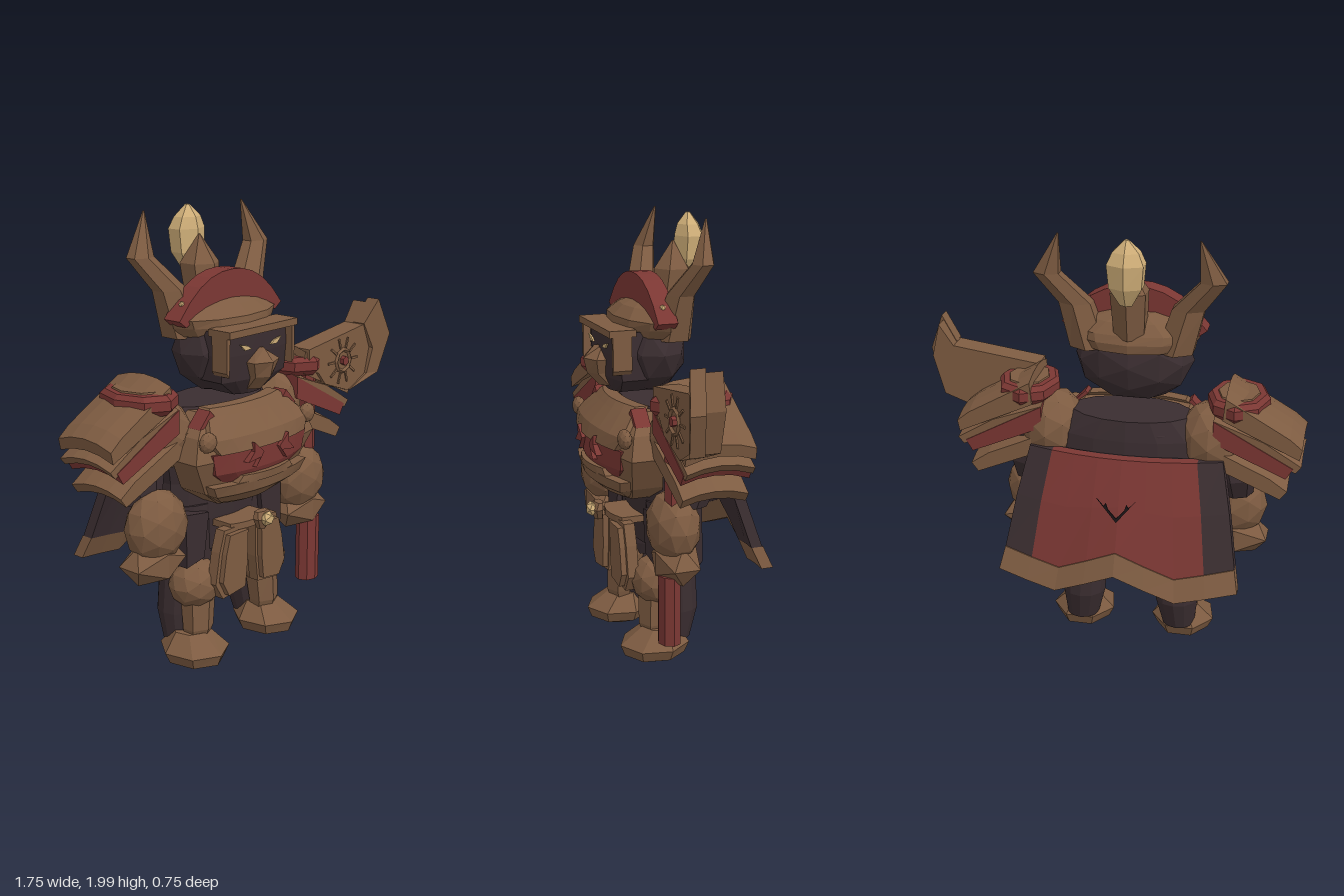
import * as THREE from 'three';

const mat = (name, color) => Object.assign(new THREE.MeshStandardMaterial({ color }), { name });

export function createModel() {
  const brown = mat('bronze brown', 0x7d5b41), red = mat('deep red', 0x7b3733);
  const dark = mat('dark cloth', 0x3a2d30), gold = mat('pale gold', 0xcfae78), black = mat('black', 0x1c1618);
  const root = new THREE.Group();
  root.name = 'armouredWarrior';
  const body = new THREE.Group();
  body.name = 'body';
  body.position.x = -0.11;
  root.add(body);
  const axe = new THREE.Group();
  axe.name = 'axe';
  root.add(axe);

  // Adds a faceted mesh
  const add = (name, geo, material, parent = body) => {
    const g = geo.index ? geo.toNonIndexed() : geo;
    g.computeVertexNormals();
    const m = new THREE.Mesh(g, material);
    m.name = name;
    parent.add(m);
    return m;
  };
  const remap = (geo, fn) => {
    const p = geo.attributes.position;
    for (let i = 0; i < p.count; i++) p.setXYZ(i, ...fn(p.getX(i), p.getY(i), p.getZ(i)));
    return geo;
  };
  // Outline in x/y pulled from z0 to z1
  const prism = (pts, z0, z1, steps = 1) => new THREE.ExtrudeGeometry(
    new THREE.Shape(pts.map(([x, y]) => new THREE.Vector2(x, y))),
    { depth: z1 - z0, bevelEnabled: false, steps }).translate(0, 0, z0);
  // Faceted ball with three radii
  const ball = (x, y, z, rx, ry, rz, detail = 1) =>
    new THREE.IcosahedronGeometry(1, detail).scale(rx, ry, rz).translate(x, y, z);
  const box = (x, y, z, w, h, d) => new THREE.BoxGeometry(w, h, d).translate(x, y, z);
  // Rings [x, y, z, radius x, radius z] from bottom to top
  const limb = (rings, sides = 8) => remap(
    new THREE.CylinderGeometry(1, 1, 1, sides, rings.length - 1), (x, y, z) => {
      const [cx, cy, cz, r, rz = r] = rings[Math.round((y + 0.5) * (rings.length - 1))];
      return [cx + x * r, cy, cz + z * rz];
    });
  // Curved slab, rows [y, half width, front z] from bottom to top
  const slab = (rows, thick, bend, t0 = -1, t1 = 1, segs = 6, hem = () => 0) => remap(
    new THREE.BoxGeometry(1, 1, 1, segs, rows.length - 1, 1), (x, y, z) => {
      const t = t0 + (x + 0.5) * (t1 - t0);
      const [ry, hw, zf, h = 0] = rows[Math.round((y + 0.5) * (rows.length - 1))];
      return [t * hw, ry + h * hem(t), zf - bend * t * t - (z < 0 ? thick : 0)];
    });

  // Torso, hips and collar
  add('torso', limb([[0, 0.53, 0.01, 0.27, 0.13], [0, 0.68, 0.01, 0.31, 0.14], [0, 0.85, 0.02, 0.3, 0.14],
    [0, 1.03, 0.03, 0.34, 0.16], [0, 1.13, 0.03, 0.33, 0.16], [0, 1.18, 0.03, 0.25, 0.14]], 14), dark);
  add('collar', limb([[0, 1.02, 0.03, 0.38, 0.17], [0, 1.1, 0.03, 0.37, 0.165], [0, 1.19, 0.03, 0.27, 0.15]], 16), dark);

  // Breastplate in layers
  add('breastplate', slab([[0.77, 0.17, 0.26], [0.85, 0.29, 0.3], [1.0, 0.38, 0.335], [1.1, 0.34, 0.31],
    [1.18, 0.24, 0.25]], 0.14, 0.05), brown);
  add('upperChestPlate', slab([[1.03, 0.27, 0.365], [1.09, 0.31, 0.345], [1.17, 0.25, 0.275], [1.2, 0.22, 0.25]], 0.06, 0.04), brown);
  add('chestInset', slab([[0.88, 0.2, 0.33], [0.94, 0.28, 0.352], [1.03, 0.3, 0.355]], 0.05, 0.05), red);
  add('lowerChestPlate', slab([[0.78, 0.17, 0.28], [0.84, 0.27, 0.35], [0.89, 0.3, 0.36]], 0.06, 0.05), brown);
  add('chestKeel', slab([[0.885, 0.18, 0.365], [0.92, 0.15, 0.37]], 0.04, 0.03), brown);
  for (const s of [-1, 1]) {
    add('chestStud', ball(s * 0.32, 1.09, 0.295, 0.045, 0.045, 0.03), brown);
    add('chestRidge', prism([[s * 0.05, 1.01], [s * 0.11, 1.06], [s * 0.11, 1.02], [s * 0.15, 0.98], [s * 0.07, 0.99],
      [s * 0.1, 0.95]], 0.33, 0.368), red);
    add('neckFin', prism([[s * 0.19, 1.14], [s * 0.245, 1.2], [s * 0.31, 1.13]], 0.17, 0.24), red);
  }

  // Belt, buckle and hanging strips
  add('belt', slab([[0.64, 0.12, 0.27], [0.67, 0.12, 0.27]], 0.12, 0.03), brown);
  add('buckleMount', limb([[0, 0.64, 0.31, 0.02], [0, 0.69, 0.32, 0.055, 0.03], [0, 0.72, 0.31, 0.04, 0.02]], 6), brown);
  add('buckle', ball(0, 0.69, 0.345, 0.035, 0.035, 0.028, 0), gold);
  for (const s of [-1, 1]) add('beltStrip', box(s * 0.021, 0.55, 0.2, 0.012, 0.2, 0.02), brown);

  // Head and mask
  add('head', ball(0, 1.42, 0.09, 0.265, 0.2, 0.175), dark);
  add('facePanel', slab([[1.24, 0.09, 0.26], [1.31, 0.2, 0.29], [1.42, 0.205, 0.3], [1.52, 0.2, 0.3]], 0.12, 0.03), dark);
  add('brow', box(0, 1.52, 0.26, 0.43, 0.03, 0.12), brown);
  add('beak', slab([[1.26, 0.045, 0.3], [1.32, 0.055, 0.355], [1.385, 0.08, 0.37], [1.44, 0.012, 0.32]], 0.07, 0.035, -1, 1, 2), brown);
  for (const s of [-1, 1]) {
    add('maskSide', prism([[s * 0.215, 1.53], [s * 0.195, 1.53], [s * 0.2, 1.34], [s * 0.215, 1.36]], 0.22, 0.305), brown);
    add('eye', prism([[s * 0.06, 1.442], [s * 0.085, 1.458], [s * 0.13, 1.468], [s * 0.1, 1.44]], 0.296, 0.304), gold);
  }

  // Helmet with crescent, spike and gem
  add('helmet', limb([[0, 1.49, 0.07, 0.25, 0.16], [0, 1.53, 0.07, 0.285, 0.165], [0, 1.565, 0.075, 0.3, 0.155],
    [0, 1.61, 0.07, 0.21, 0.115], [0, 1.64, 0.06, 0.1, 0.06]], 12), brown);
  const arc = [];
  for (let i = -5; i <= 5; i++) arc.push([0.32 * i / 5, 1.75 - 0.18 * Math.abs(i / 5) ** 2.3]);
  for (let i = 5; i >= -5; i--) arc.push([0.28 * i / 5, 1.615 - 0.075 * (i / 5) ** 2]);
  add('crescent', prism(arc, 0.05, 0.14), red);
  add('spike', limb([[0, 1.55, -0.02, 0.075], [0, 1.76, -0.05, 0.088], [0, 1.88, -0.05, 0.004]], 6), brown);
  add('gem', limb([[0, 1.72, -0.11, 0.03], [0, 1.8, -0.12, 0.08, 0.064], [0, 1.9, -0.125, 0.09, 0.068],
    [0, 1.95, -0.12, 0.065, 0.05], [0, 2.0, -0.12, 0.01]], 6), gold);

  for (const s of [-1, 1]) {
    // Horns
    add('horn', limb([[s * 0.19, 1.48, 0.03, 0.09], [s * 0.245, 1.68, 0.01, 0.08, 0.065],
      [s * 0.357, 1.82, -0.045, 0.064, 0.05], [s * 0.3, 2.0, -0.08, 0.004]], 6), brown);
    add('crescentPin', ball(s * 0.265, 1.63, 0.1, 0.012, 0.015, 0.015, 0), gold);

    // Arms
    add('upperArm', limb([[s * 0.47, 0.82, 0.06, 0.08], [s * 0.46, 0.92, 0.03, 0.105], [s * 0.42, 1.12, 0.02, 0.1]], 8), dark);
    add('forearm', ball(s * 0.46, 0.73, 0.13, 0.152, 0.16, 0.115), brown);
    add('hand', ball(s * 0.478, 0.575, 0.125, 0.165, 0.1, 0.11, 0), brown);

    // Shoulder guards: ball, drooping slats and a rimmed pad
    add('shoulder', ball(s * 0.36, 1.09, 0.03, 0.15, 0.17, 0.165), brown);
    const slats = [
      ['topSlat', brown, [[0.43, 1.36], [0.42, 1.26], [0.755, 1.105], [0.765, 1.155], [0.71, 1.2]]],
      ['middleSlat', red, [[0.38, 1.25], [0.38, 1.15], [0.7, 1.01], [0.73, 1.06]]],
      ['innerSlat', brown, [[0.38, 1.25], [0.38, 1.2], [0.74, 1.04], [0.765, 1.07], [0.6, 1.17]]],
      ['lowerSlat', brown, [[0.32, 1.14], [0.34, 1.05], [0.68, 0.905], [0.71, 0.945], [0.63, 1.0]]]];
    slats.forEach(([name, m, pts], i) => {
      const z = 0.155 - i * 0.003;
      add(name, remap(prism(pts.map(([x, y]) => [x * s, y]), 0.04 - z, 0.04 + z, 4),
        (x, y, q) => [x, y - 1.2 * (q - 0.04) ** 2, q]), m);
    });
    add('shoulderPad', limb([[s * 0.47, 1.22, 0.05, 0.11, 0.16], [s * 0.47, 1.245, 0.05, 0.137, 0.185],
      [s * 0.47, 1.285, 0.05, 0.137, 0.185], [s * 0.47, 1.305, 0.05, 0.12, 0.16]], 8), red);
    add('padCap', limb([[s * 0.47, 1.28, 0.045, 0.1, 0.135], [s * 0.47, 1.312, 0.045, 0.09, 0.12]], 8), brown);

    // Legs
    add('thigh', limb([[s * 0.19, 0.4, 0.03, 0.1], [s * 0.18, 0.46, 0.01, 0.125], [s * 0.16, 0.75, 0.01, 0.13]], 12), dark);
    add('shin', limb([[s * 0.23, 0.12, 0.04, 0.075], [s * 0.22, 0.26, 0.025, 0.1], [s * 0.21, 0.44, 0.03, 0.1]], 12), dark);
    add('greave', limb([[s * 0.22, 0.14, 0.13, 0.06, 0.05], [s * 0.22, 0.2, 0.14, 0.075, 0.06],
      [s * 0.21, 0.36, 0.13, 0.085, 0.07]], 6), brown);
    add('knee', ball(s * 0.215, 0.4, 0.12, 0.13, 0.11, 0.11), brown);
    add('foot', limb([[s * 0.24, 0.01, 0.13, 0.01], [s * 0.24, 0.06, 0.135, 0.125, 0.14],
      [s * 0.24, 0.11, 0.135, 0.15, 0.16], [s * 0.235, 0.185, 0.11, 0.08, 0.08]], 7), brown);

    // Tassets with a raised inner face
    const tasset = [[0.03, 0.655], [0.17, 0.655], [0.2, 0.56], [0.225, 0.42], [0.18, 0.345], [0.05, 0.36], [0.035, 0.48]];
    add('tasset', prism(tasset.map(([x, y]) => [s * x, y]), 0.2, 0.25), brown);
    add('tassetFace', prism(tasset.map(([x, y]) => [s * (0.11 + (x - 0.11) * 0.82), 0.5 + (y - 0.5) * 0.88]), 0.25, 0.275), brown);
    add('hipPanel', prism([[s * 0.31, 0.74], [s * 0.17, 0.72], [s * 0.2, 0.52], [s * 0.31, 0.5]], 0.06, 0.16), dark);
  }

  // Cape: red middle, dark sides and lining, notched hem
  const hem = t => Math.abs(t) < 0.5 ? -0.22 * Math.abs(t) : -0.11 + 0.1 * (Math.abs(t) - 0.5);
  const cloth = [[0.66, 0.515, -0.29, 1], [0.85, 0.475, -0.22, 0.3], [1.04, 0.43, -0.145]];
  add('capeMiddle', slab(cloth, 0.045, -0.07, -0.75, 0.75, 6, hem), red);
  add('capeLining', slab(cloth.map(([y, w, z, h]) => [y, w, z + 0.006, h]), 0.006, -0.07, -1, 1, 8, hem), dark);
  for (const s of [-1, 1])
    add('capeSide', slab(cloth, 0.045, -0.07, s < 0 ? -1 : 0.75, s < 0 ? -0.75 : 1, 1, hem), dark);
  add('capeHem', slab([[0.565, 0.535, -0.325, 1], [0.66, 0.515, -0.285, 1]], 0.055, -0.07, -1, 1, 8, hem), brown);
  for (const s of [-1, 1])
    add('capeMark', prism([[0, 0.8], [s * 0.085, 0.91], [s * 0.055, 0.875], [s * 0.045, 0.89], [s * 0.035, 0.86], [0, 0.82]],
      -0.318, -0.312), black);

  // Axe shaft
  add('shaft', limb([[0.395, 0.5, 0.15, 0.042, 0.036], [0.395, 1.25, 0.15, 0.042, 0.036]], 6), red, axe);
  add('shaftGrip', limb([[0.395, 0.22, 0.165, 0.06, 0.05], [0.395, 0.53, 0.165, 0.06, 0.05]], 8), red, axe);
  // Axe head and cutting edge
  add('axeHead', prism([[0.33, 1.34], [0.73, 1.395], [0.795, 1.49], [0.83, 1.34], [0.78, 1.16], [0.62, 1.1],
    [0.45, 1.16], [0.4, 1.22], [0.33, 1.24]], 0.1, 0.21), brown, axe);
  add('axeEdge', remap(prism([[0.73, 1.4], [0.805, 1.51], [0.87, 1.34], [0.81, 1.16], [0.63, 1.1], [0.75, 1.16], [0.78, 1.28]],
    0.15, 0.215), (x, y, z) => [x, y, z + Math.max(0, x - 0.73) * 0.35]), brown, axe);
  // Sunburst on the axe head
  add('sunRing', new THREE.TorusGeometry(0.052, 0.01, 4, 8).translate(0.577, 1.25, 0.212), brown, axe);
  add('sunCentre', new THREE.CylinderGeometry(0.022, 0.022, 0.03, 6).rotateX(Math.PI / 2).translate(0.577, 1.25, 0.215), red, axe);
  for (let i = 0; i < 10; i++)
    add('sunRay', box(0.085, 0, 0, 0.05, 0.01, 0.012).rotateZ(i * Math.PI / 5).translate(0.577, 1.25, 0.21), brown, axe);
  return root;
}
